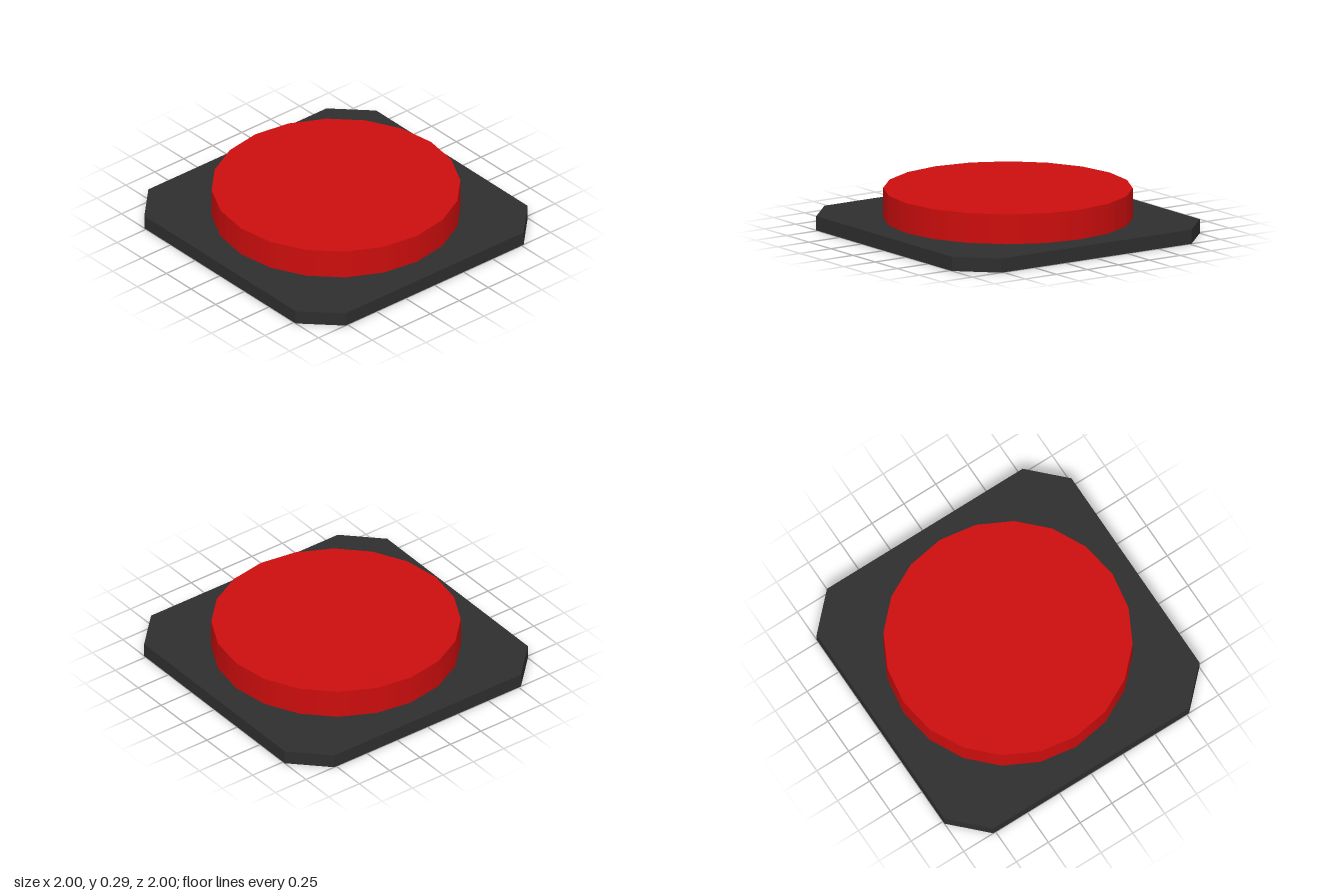
import * as THREE from 'three';

const BASE_HEIGHT = 0.095;
const BUTTON_HEIGHT = 0.2;

// Square plate with cut corners, lying on y = 0
function createBasePlate(half, cut, height) {
  const inner = half - cut;
  const outline = new THREE.Shape([
    [half, -inner], [half, inner], [inner, half], [-inner, half],
    [-half, inner], [-half, -inner], [-inner, -half], [inner, -half],
  ].map(([x, y]) => new THREE.Vector2(x, y)));
  const geometry = new THREE.ExtrudeGeometry(outline, { depth: height, bevelEnabled: false });
  geometry.rotateX(-Math.PI / 2);
  const plate = new THREE.Mesh(geometry, new THREE.MeshStandardMaterial({ color: 0x2e2e2e }));
  plate.name = 'basePlate';
  return plate;
}

// Round push button, smooth sides with 20 segments
function createButton(radius, height) {
  const geometry = new THREE.CylinderGeometry(radius, radius, height, 20);
  const button = new THREE.Mesh(geometry, new THREE.MeshStandardMaterial({ color: 0xcc0d0d }));
  button.name = 'button';
  button.position.y = BASE_HEIGHT + height / 2;
  return button;
}

export function createModel() {
  const model = new THREE.Group();
  model.name = 'pushButton';
  model.add(createBasePlate(1, 0.232, BASE_HEIGHT), createButton(0.82, BUTTON_HEIGHT));
  return model;
}
